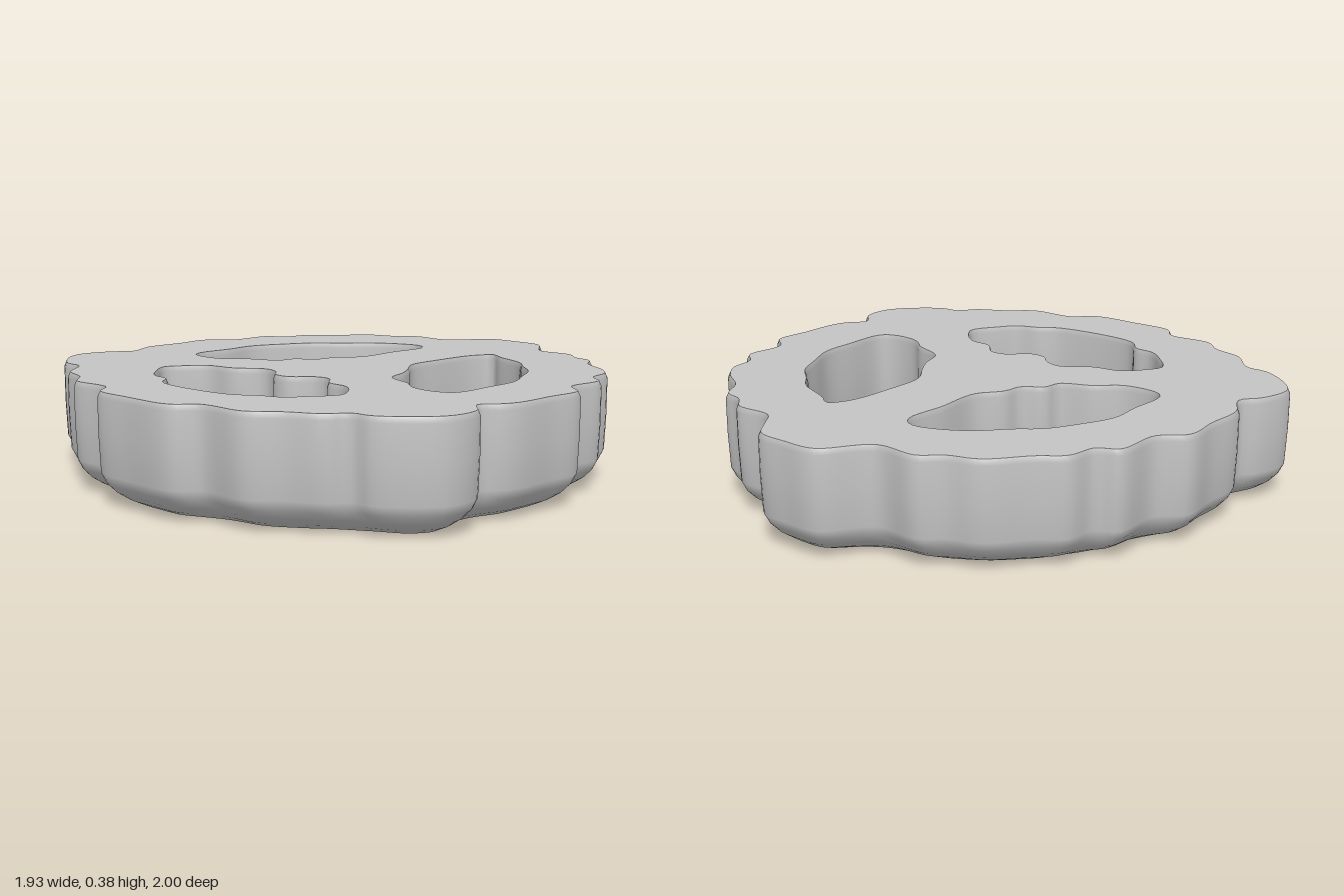
import * as THREE from 'three';
import { mergeGeometries } from 'three/addons/utils/BufferGeometryUtils.js';

// Contours as [x, z] control points
const RIM = [
  [-0.13, -0.99], [0, -1], [0.12, -0.99], [0.19, -0.91], [0.25, -0.84], [0.39, -0.84], [0.46, -0.78],
  [0.54, -0.76], [0.6, -0.67], [0.71, -0.6], [0.78, -0.52], [0.8, -0.42], [0.87, -0.36], [0.87, -0.2],
  [0.95, -0.13], [0.95, 0.02], [0.95, 0.18], [0.93, 0.24], [0.88, 0.3], [0.95, 0.38], [0.95, 0.52],
  [0.79, 0.68], [0.71, 0.69], [0.66, 0.76], [0.55, 0.82], [0.45, 0.9], [0.27, 0.91], [0.2, 0.98],
  [0, 0.99], [-0.17, 0.98], [-0.23, 0.91], [-0.4, 0.91], [-0.48, 0.84], [-0.6, 0.8], [-0.7, 0.69],
  [-0.79, 0.68], [-0.96, 0.52], [-0.94, 0.37], [-0.89, 0.3], [-0.95, 0.18], [-0.95, 0.02],
  [-0.96, -0.13], [-0.88, -0.21], [-0.87, -0.39], [-0.8, -0.43], [-0.78, -0.54], [-0.7, -0.61],
  [-0.59, -0.74], [-0.48, -0.78], [-0.41, -0.84], [-0.25, -0.84],
];
const RIGHT_HOLE = [
  [0.19, -0.61], [0.25, -0.57], [0.39, -0.51], [0.46, -0.44], [0.54, -0.37], [0.6, -0.26], [0.66, -0.14],
  [0.67, 0], [0.67, 0.17], [0.62, 0.2], [0.51, 0.19], [0.43, 0.13], [0.31, 0.08], [0.27, -0.02],
  [0.22, -0.1], [0.15, -0.2], [0.14, -0.35], [0.15, -0.54],
];
const LEFT_HOLE = [
  [-0.2, -0.61], [-0.15, -0.57], [-0.15, -0.4], [-0.14, -0.22], [-0.2, -0.13], [-0.21, -0.05],
  [-0.28, 0], [-0.29, 0.07], [-0.4, 0.12], [-0.48, 0.19], [-0.62, 0.19], [-0.65, 0.15], [-0.65, 0],
  [-0.66, -0.13], [-0.61, -0.26], [-0.55, -0.37], [-0.47, -0.44], [-0.4, -0.52], [-0.31, -0.58],
];
const FRONT_HOLE = [
  [-0.15, 0.26], [-0.08, 0.28], [-0.03, 0.33], [0.05, 0.33], [0.1, 0.27], [0.17, 0.26], [0.24, 0.33],
  [0.33, 0.34], [0.41, 0.41], [0.44, 0.47], [0.39, 0.56], [0.34, 0.63], [0.26, 0.66], [0.18, 0.71],
  [-0.16, 0.71], [-0.23, 0.64], [-0.31, 0.63], [-0.38, 0.57], [-0.45, 0.48], [-0.42, 0.42],
  [-0.36, 0.35], [-0.25, 0.33],
];

// Wall section: [height, share of the full inset], straight above, rounded below
const PROFILE = [
  [0.385, 0.07], [0.365, 0], [0.24, 0], [0.11, 0.04], [0.075, 0.17], [0.045, 0.38], [0.02, 0.66], [0, 1],
];

// Evenly spaced loop with the solid on its left
function sampleLoop(points, isHole) {
  const curve = new THREE.CatmullRomCurve3(
    points.map(([x, z]) => new THREE.Vector3(x, 0, z)), true, 'centripetal');
  const count = Math.round(curve.getLength() / 0.025);
  const loop = curve.getSpacedPoints(count).slice(0, count).map((p) => new THREE.Vector2(p.x, p.z));
  if ((THREE.ShapeUtils.area(loop) > 0) === isHole) loop.reverse();
  return loop;
}

// Stacked rings that shrink into the solid, evening out as they go
function makeRings(loop, inset) {
  const n = loop.length;
  const soft = loop.map((_, i) => {
    const sum = new THREE.Vector2();
    for (let k = -4; k <= 4; k++) sum.add(loop[(i + k + n) % n]);
    return sum.divideScalar(9);
  });
  const inward = soft.map((_, i) => {
    const t = soft[(i + 3) % n].clone().sub(soft[(i - 3 + n) % n]).normalize();
    return new THREE.Vector2(-t.y, t.x);
  });
  return PROFILE.map(([y, share]) => ({
    y,
    points: loop.map((p, i) => p.clone().lerp(soft[i], share).addScaledVector(inward[i], inset * share)),
  }));
}

function makeGeometry(positions, indices) {
  const geometry = new THREE.BufferGeometry();
  geometry.setAttribute('position', new THREE.Float32BufferAttribute(positions, 3));
  geometry.setIndex(indices);
  geometry.computeVertexNormals();
  return geometry;
}

function wallGeometry(rings) {
  const n = rings[0].points.length;
  const positions = rings.flatMap(({ y, points }) => points.flatMap((p) => [p.x, y, p.y]));
  const indices = [];
  for (let r = 0; r < rings.length - 1; r++) {
    for (let i = 0; i < n; i++) {
      const a = r * n + i, b = r * n + (i + 1) % n;
      indices.push(a, b, a + n, b, b + n, a + n);
    }
  }
  return makeGeometry(positions, indices);
}

// Flat face between the rim and the holes
function capGeometry(rings, faceUp) {
  const [outer, ...holes] = rings.map((ring) => ring.points);
  const faces = THREE.ShapeUtils.triangulateShape(outer, holes);
  const positions = [outer, ...holes].flat().flatMap((p) => [p.x, rings[0].y, p.y]);
  return makeGeometry(positions, faces.flatMap(([a, b, c]) => (faceUp ? [a, c, b] : [a, b, c])));
}

export function createModel() {
  const group = new THREE.Group();
  group.name = 'piercedDisc';
  const grey = new THREE.MeshStandardMaterial({ color: 0xc4c4c4 });
  grey.name = 'light grey';

  const add = (name, geometry) => {
    const mesh = new THREE.Mesh(geometry, grey);
    mesh.name = name;
    group.add(mesh);
  };

  const rim = makeRings(sampleLoop(RIM, false), 0.12);
  const holes = [RIGHT_HOLE, LEFT_HOLE, FRONT_HOLE].map((h) => makeRings(sampleLoop(h, true), 0.085));
  const all = [rim, ...holes];

  add('outerRim', wallGeometry(rim));
  add('holeWalls', mergeGeometries(holes.map(wallGeometry)));
  add('topFace', capGeometry(all.map((rings) => rings[0]), true));
  add('bottomFace', capGeometry(all.map((rings) => rings[rings.length - 1]), false));
  return group;
}
